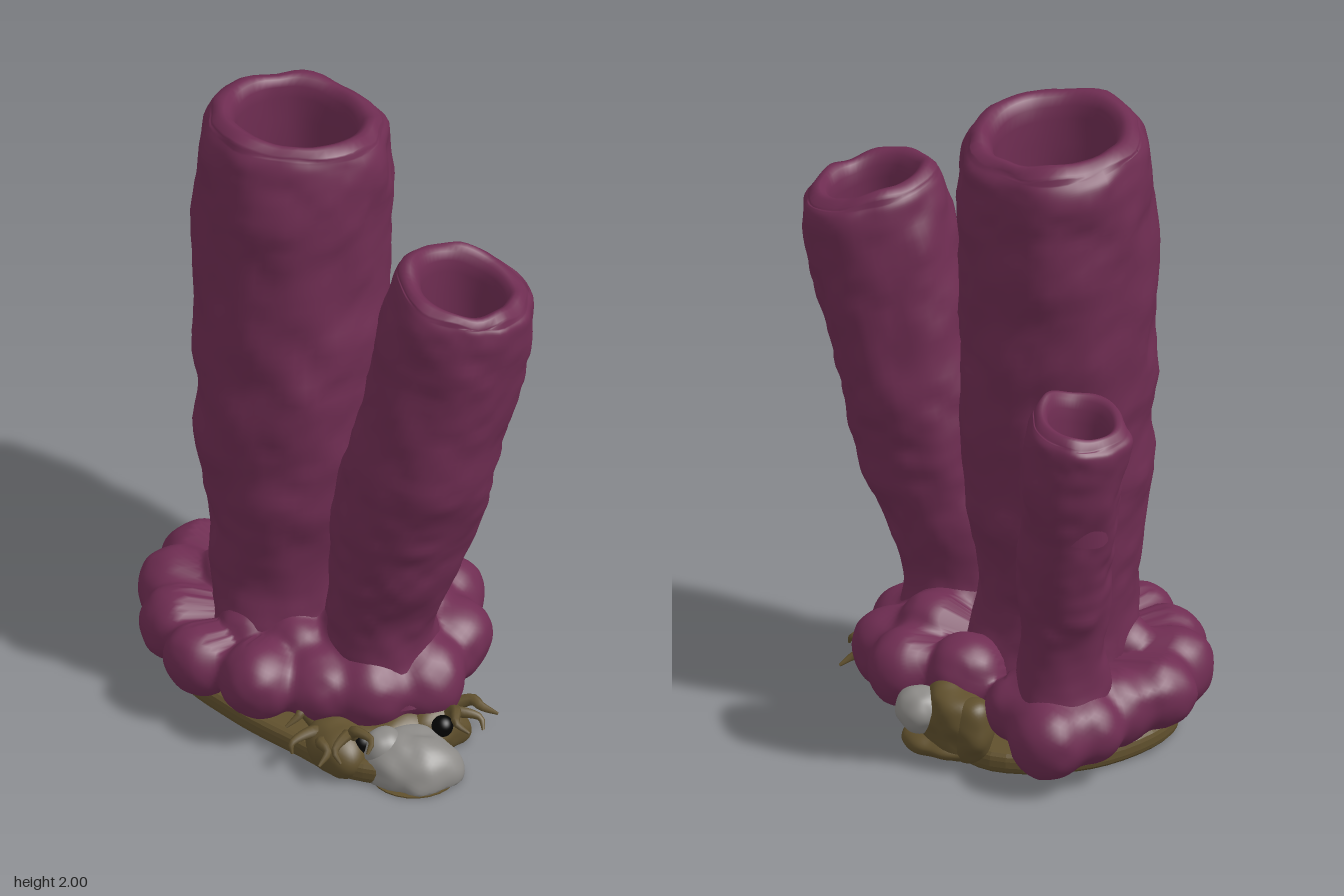
import * as THREE from 'three';
import { mergeVertices } from 'three/addons/utils/BufferGeometryUtils.js';

// Smooth repeatable value noise, -1..1
function valueNoise(x, y, z) {
  const hash = (a, b, c) => {
    const s = Math.sin(a * 127.1 + b * 311.7 + c * 74.7) * 43758.5453;
    return s - Math.floor(s);
  };
  const ix = Math.floor(x), iy = Math.floor(y), iz = Math.floor(z);
  const ease = t => t * t * (3 - 2 * t);
  const u = ease(x - ix), v = ease(y - iy), w = ease(z - iz);
  let sum = 0;
  for (let a = 0; a < 2; a++) for (let b = 0; b < 2; b++) for (let c = 0; c < 2; c++) {
    sum += hash(ix + a, iy + b, iz + c) * (a ? u : 1 - u) * (b ? v : 1 - v) * (c ? w : 1 - w);
  }
  return sum * 2 - 1;
}
const bumps = (x, y, z) => 0.75 * valueNoise(x * 9, y * 7, z * 9) + 0.25 * valueNoise(x * 20, y * 20, z * 20);

// Hollow tube lofted from rows of [y, x, z, radius]; the rim slopes by tiltX, tiltZ
function spongeTube(rows, inner, tiltX, tiltZ) {
  const SEG = 56, N = 90;
  const axis = new THREE.CatmullRomCurve3(rows.map(r => new THREE.Vector3(r[1], r[0], r[2])), false, 'catmullrom');
  const width = new THREE.CatmullRomCurve3(rows.map((r, i) => new THREE.Vector3(r[3], i, 0)), false, 'catmullrom');
  const rings = [];
  for (let i = 0; i <= N; i++) rings.push([axis.getPoint(i / N), width.getPoint(i / N).x, i / N]);
  // Rounded lip, then the inner wall going down
  const top = axis.getPoint(1), r = width.getPoint(1).x;
  [[0.25, 0.014], [0.5, 0.015], [0.75, 0.006], [0.95, -0.02], [1, -0.06], [1, -0.14], [0.98, -0.24], [0.96, -0.36]]
    .forEach(([k, dy]) => rings.push([top.clone().setY(top.y + dy), r + (inner - r) * k, 1]));
  const pos = [], index = [];
  rings.forEach(([c, rad, t], j) => {
    for (let i = 0; i < SEG; i++) {
      const a = i / SEG * Math.PI * 2, ux = Math.cos(a), uz = Math.sin(a);
      const px = c.x + ux * rad, pz = c.z + uz * rad;
      const bump = (j > N ? 0.01 : 0.024) * bumps(px, c.y, pz);
      const lip = j > N - 3 ? 0.014 * valueNoise(px * 11, 3, pz * 11) : 0;
      pos.push(px + ux * bump, c.y + t * t * rad * (ux * tiltX + uz * tiltZ) + lip, pz + uz * bump);
      if (j < rings.length - 1) {
        const p = j * SEG + i, q = j * SEG + (i + 1) % SEG;
        index.push(p, p + SEG, q, q, p + SEG, q + SEG);
      }
    }
  });
  const g = new THREE.BufferGeometry();
  g.setAttribute('position', new THREE.Float32BufferAttribute(pos, 3));
  g.setIndex(index);
  g.computeVertexNormals();
  return g;
}

// Unit sphere with shared vertices, each moved by place(direction)
function mouldedSphere(detail, place) {
  let g = new THREE.IcosahedronGeometry(1, detail);
  g.deleteAttribute('normal');
  g.deleteAttribute('uv');
  g = mergeVertices(g);
  const p = g.attributes.position, v = new THREE.Vector3();
  for (let i = 0; i < p.count; i++) {
    place(v.fromBufferAttribute(p, i));
    p.setXYZ(i, v.x, v.y, v.z);
  }
  g.computeVertexNormals();
  return g;
}

// Bumpy ellipsoid, never below the ground
function blob(x, y, z, rx, ry, rz, rough) {
  return mouldedSphere(9, v => {
    const b = 1 + rough * bumps(x + v.x * rx, y + v.y * ry, z + v.z * rz);
    v.set(x + v.x * rx * b, Math.max(0.004, y + v.y * ry * b), z + v.z * rz * b);
  });
}

// One skin shrunk onto softly merged balls of [x, y, z, radius]
function mergedBalls(balls, center, blend) {
  const distance = p => {
    let d = 1;
    for (const [x, y, z, r] of balls) {
      const e = Math.hypot(p.x - x, p.y - y, p.z - z) - r;
      const h = Math.max(blend - Math.abs(d - e), 0) / blend;
      d = Math.min(d, e) - h * h * blend * 0.25;
    }
    return d;
  };
  const p = new THREE.Vector3();
  return mouldedSphere(42, v => {
    let t = 0.85;
    for (let i = 0; i < 50 && t > 0.05; i++) {
      const d = distance(p.copy(v).multiplyScalar(t).add(center));
      if (d < 0.001) break;
      t -= d * 0.9;
    }
    p.copy(v).multiplyScalar(t).add(center);
    v.multiplyScalar(t + 0.018 * bumps(p.x, p.y, p.z)).add(center);
  });
}

// Thin root tapering to its tip
function root(points, radius) {
  const curve = new THREE.CatmullRomCurve3(points.map(p => new THREE.Vector3(...p)));
  const g = new THREE.TubeGeometry(curve, 14, radius, 7);
  const p = g.attributes.position, v = new THREE.Vector3();
  for (let i = 0; i < p.count; i++) {
    const t = Math.floor(i / 8) / 14, c = curve.getPointAt(t);
    v.fromBufferAttribute(p, i).sub(c).multiplyScalar(1 - 0.8 * t * t).add(c);
    p.setXYZ(i, v.x, v.y, v.z);
  }
  return g;
}

export function createModel() {
  const group = new THREE.Group();
  const mat = (name, color, side = THREE.FrontSide) => {
    const m = new THREE.MeshStandardMaterial({ color, side });
    m.name = name;
    return m;
  };
  const magenta = mat('spongeMagenta', 0x6f2d52, THREE.DoubleSide);
  const brown = mat('rockBrown', 0x60502d);
  const grey = mat('stoneGrey', 0x8d8b88);
  const black = mat('hollowBlack', 0x030303);
  const add = (name, geometry, material) => {
    const m = new THREE.Mesh(geometry, material);
    m.name = name;
    group.add(m);
    return m;
  };

  // Three hollow tubes
  const tubes = [
    ['mainTube', [[0.15, -0.05, -0.04, 0.29], [0.28, -0.05, -0.05, 0.26], [0.45, -0.06, -0.07, 0.235], [0.7, -0.05, -0.075, 0.265],
      [1, -0.05, -0.08, 0.287], [1.35, -0.04, -0.1, 0.287], [1.7, -0.03, -0.11, 0.29], [1.88, -0.02, -0.115, 0.28], [1.945, -0.02, -0.12, 0.25]], 0.18, -0.12, 0.06],
    ['frontTube', [[0.15, 0.1, 0.25, 0.22], [0.27, 0.1, 0.25, 0.185], [0.4, 0.1, 0.27, 0.168], [0.6, 0.13, 0.3, 0.19], [0.8, 0.16, 0.335, 0.215],
      [1, 0.195, 0.37, 0.225], [1.3, 0.245, 0.415, 0.22], [1.56, 0.285, 0.445, 0.213], [1.63, 0.29, 0.45, 0.188]], 0.125, -0.2, -0.15],
    ['backTube', [[0.15, 0.1, -0.38, 0.17], [0.27, 0.1, -0.38, 0.14], [0.45, 0.1, -0.4, 0.125], [0.65, 0.11, -0.44, 0.14],
      [0.85, 0.12, -0.485, 0.152], [1.05, 0.13, -0.525, 0.157], [1.18, 0.13, -0.555, 0.155], [1.225, 0.13, -0.56, 0.138]], 0.09, 0.05, 0.24],
  ];
  for (const [name, rows, inner, tx, tz] of tubes) {
    add(name, spongeTube(rows, inner, tx, tz), magenta);
    const [y, x, z] = rows[rows.length - 1];
    const floor = add(name + 'Hollow', new THREE.CircleGeometry(inner + 0.01, 32).rotateX(-Math.PI / 2), black);
    floor.position.set(x, y - 0.3, z);
  }

  // Lobed foot: swollen lumps around the tube roots, merged into one skin
  const lumps = [
    [-0.21, 0.2, -0.42, 0.115], [-0.32, 0.2, -0.29, 0.125], [-0.385, 0.2, -0.13, 0.115], [-0.39, 0.19, 0.06, 0.112],
    [-0.27, 0.2, 0.23, 0.118], [-0.1, 0.19, 0.3, 0.115], [0.03, 0.18, 0.36, 0.125], [0.2, 0.18, 0.36, 0.13],
    [0.33, 0.19, 0.22, 0.13], [0.39, 0.22, 0.05, 0.118], [0.26, 0.23, -0.1, 0.12], [0.2, 0.2, -0.33, 0.11],
    [0.19, 0.16, -0.48, 0.12], [0.07, 0.17, -0.48, 0.11], [-0.07, 0.18, -0.41, 0.12],
    [-0.22, 0.25, 0.04, 0.1], [-0.2, 0.26, -0.2, 0.1], [0.26, 0.29, 0.12, 0.11], [-0.13, 0.25, 0.18, 0.1],
    [-0.05, 0.29, -0.05, 0.22], [0.1, 0.26, 0.23, 0.18], [0.1, 0.24, -0.36, 0.14],
  ];
  add('lobedFoot', mergedBalls(lumps, new THREE.Vector3(0, 0.18, -0.03), 0.035), magenta);

  // Flat rock slab underneath
  const outline = [[0.04, 0.61], [0.14, 0.5], [0.24, 0.26], [0.32, -0.03], [0.28, -0.3], [0.02, -0.42],
    [-0.28, -0.33], [-0.38, -0.12], [-0.31, 0.14], [-0.2, 0.36], [-0.11, 0.52]];
  const loop = new THREE.CatmullRomCurve3(outline.map(([x, z]) => new THREE.Vector3(x, -z, 0)), true);
  const shape = new THREE.Shape(loop.getPoints(66).slice(0, -1).map(p => new THREE.Vector2(p.x, p.y)));
  const slab = new THREE.ExtrudeGeometry(shape, { depth: 0.02, bevelThickness: 0.025, bevelSize: 0.025, bevelSegments: 3 });
  add('rockSlab', slab.rotateX(-Math.PI / 2).translate(0, 0.025, 0), brown);

  // Brown rocks
  [[0.36, 0.14, -0.19, 0.09, 0.11, 0.11], [0.33, 0.13, -0.26, 0.07, 0.1, 0.07], [0.37, 0.06, -0.14, 0.1, 0.04, 0.12],
    [-0.1, 0.06, 0.44, 0.09, 0.08, 0.11], [0.2, 0.05, 0.45, 0.11, 0.08, 0.09], [0.06, 0.05, 0.43, 0.17, 0.08, 0.1]]
    .forEach((b, i) => add('brownRock' + (i + 1), blob(...b, 0.35), brown));

  // Grey stones, the front one bedded on a brown sole
  add('frontStone', blob(0.085, 0.03, 0.58, 0.145, 0.115, 0.13, 0.25), grey);
  add('frontStoneTop', blob(0.01, 0.08, 0.54, 0.065, 0.07, 0.07, 0.3), grey);
  add('frontStoneSole', new THREE.CylinderGeometry(0.13, 0.13, 0.004, 24), brown).position.set(0.085, 0.002, 0.58);
  add('sideStone', blob(0.435, 0.16, -0.125, 0.07, 0.07, 0.08, 0.3), grey);

  // Dark crevices beside the front stone
  [[0.2, 0.1, 0.52], [-0.05, 0.1, 0.51]]
    .forEach(([x, y, z], i) => add('crevice' + (i + 1), blob(x, y, z, 0.035, 0.035, 0.035, 0.3), black));

  // Roots curling out from under the foot
  const roots = [
    [-0.12, 0.36, -0.24, 0.37, 0.14], [-0.14, 0.4, -0.25, 0.45, 0.1], [-0.12, 0.44, -0.2, 0.54, 0.1],
    [-0.1, 0.46, -0.15, 0.59, 0.13], [-0.06, 0.48, -0.07, 0.6, 0.15], [0.2, 0.46, 0.26, 0.58, 0.13],
    [0.22, 0.42, 0.32, 0.54, 0.1], [0.26, 0.38, 0.4, 0.45, 0.08],
  ];
  roots.forEach(([x0, z0, x1, z1, y], i) => {
    const bend = i % 2 ? 0.02 : -0.02;
    add('root' + (i + 1), root([[x0, 0.06, z0], [x0 * 0.6 + x1 * 0.4 + bend, y + 0.01, z0 * 0.6 + z1 * 0.4],
      [x0 * 0.2 + x1 * 0.8 - bend, y, z0 * 0.2 + z1 * 0.8], [x1, y - 0.03, z1]], 0.022), brown);
  });
  return group;
}
